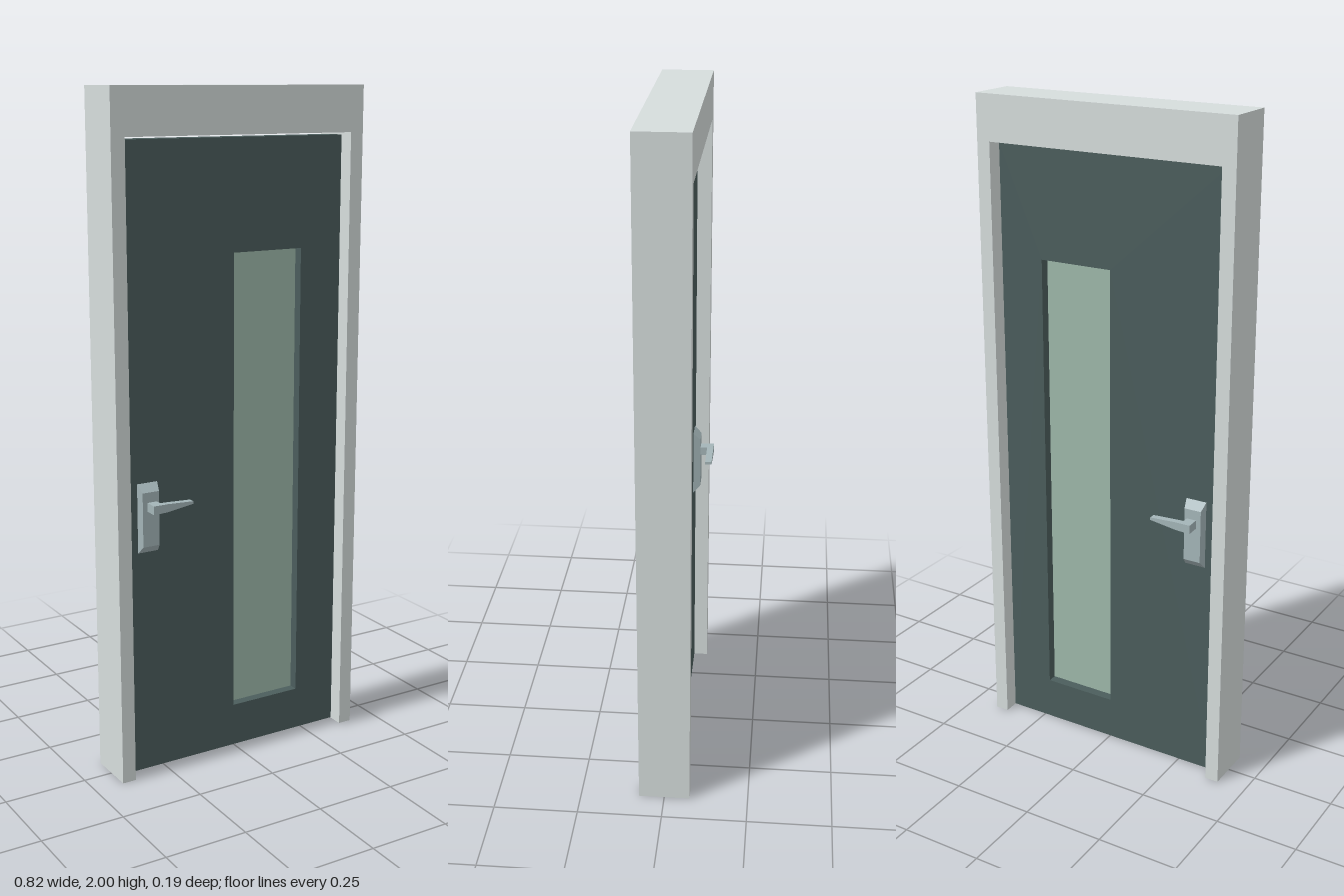
import * as THREE from 'three';

const paint = (color) => new THREE.MeshStandardMaterial({ color, flatShading: true });
const frameMat = paint(0xd6dddc);
const leafMat = paint(0x4b5d5c);
const glassMat = paint(0x9eb8aa);
const metalMat = paint(0xa4b5b8);

function add(parent, name, geometry, material, x = 0, y = 0, z = 0) {
  const mesh = new THREE.Mesh(geometry, material);
  mesh.name = name;
  mesh.position.set(x, y, z);
  parent.add(mesh);
  return mesh;
}

const polygon = (points) => points.map(([x, y]) => new THREE.Vector2(x, y));
const rectangle = (x0, y0, x1, y1) => polygon([[x0, y0], [x1, y0], [x1, y1], [x0, y1]]);

// Flat outline with optional hole, extruded evenly about z = 0
function slab(outline, hole, depth) {
  const shape = new THREE.Shape(outline);
  if (hole) shape.holes.push(new THREE.Path(hole));
  return new THREE.ExtrudeGeometry(shape, { depth, bevelEnabled: false }).translate(0, 0, -depth / 2);
}

// Box whose +z face is inset to leave sloping edges
function bevelledPlate(w, h, d, insetX, insetY) {
  const geometry = new THREE.BoxGeometry(w, h, d);
  const p = geometry.attributes.position;
  for (let i = 0; i < p.count; i++) {
    if (p.getZ(i) > 0) {
      p.setX(i, p.getX(i) - Math.sign(p.getX(i)) * insetX);
      p.setY(i, p.getY(i) - Math.sign(p.getY(i)) * insetY);
    }
  }
  geometry.computeVertexNormals();
  return geometry;
}

// Plate, neck and tapering lever for one face of the door
function handle(name, faceZ) {
  const group = new THREE.Group();
  group.name = name;
  add(group, 'handlePlate', bevelledPlate(0.065, 0.208, 0.022, 0.006, 0.023), metalMat, -0.2945, 0.79, faceZ + 0.011);
  add(group, 'handleNeck', new THREE.BoxGeometry(0.03, 0.026, 0.06), metalMat, -0.291, 0.828, faceZ + 0.03);
  const lever = polygon([[-0.307, 0.815], [-0.262, 0.817], [-0.178, 0.829], [-0.178, 0.837], [-0.262, 0.841], [-0.307, 0.841]]);
  add(group, 'handleLever', slab(lever, null, 0.02), metalMat, 0, 0, 0.086);
  return group;
}

export function createModel() {
  const model = new THREE.Group();
  model.name = 'door';
  const leafDepth = 0.066;

  // Frame: two jambs and a deep header, open at the floor
  const frame = polygon([
    [-0.411, 0], [-0.369, 0], [-0.369, 1.866], [0.369, 1.866],
    [0.369, 0], [0.411, 0], [0.411, 2], [-0.411, 2],
  ]);
  add(model, 'frame', slab(frame, null, 0.152), frameMat);

  // Leaf with a tall off-centre window
  const leaf = rectangle(-0.366, 0.004, 0.366, 1.858);
  const opening = rectangle(-0.004, 0.136, 0.227, 1.534);
  add(model, 'leaf', slab(leaf, opening, leafDepth), leafMat);
  add(model, 'windowPane', new THREE.BoxGeometry(0.231, 1.398, 0.008), glassMat, 0.1115, 0.835, 0);

  // Matching handles; the back one is mirrored in z
  const back = handle('backHandle', leafDepth / 2);
  back.scale.z = -1;
  model.add(handle('frontHandle', leafDepth / 2), back);
  return model;
}
